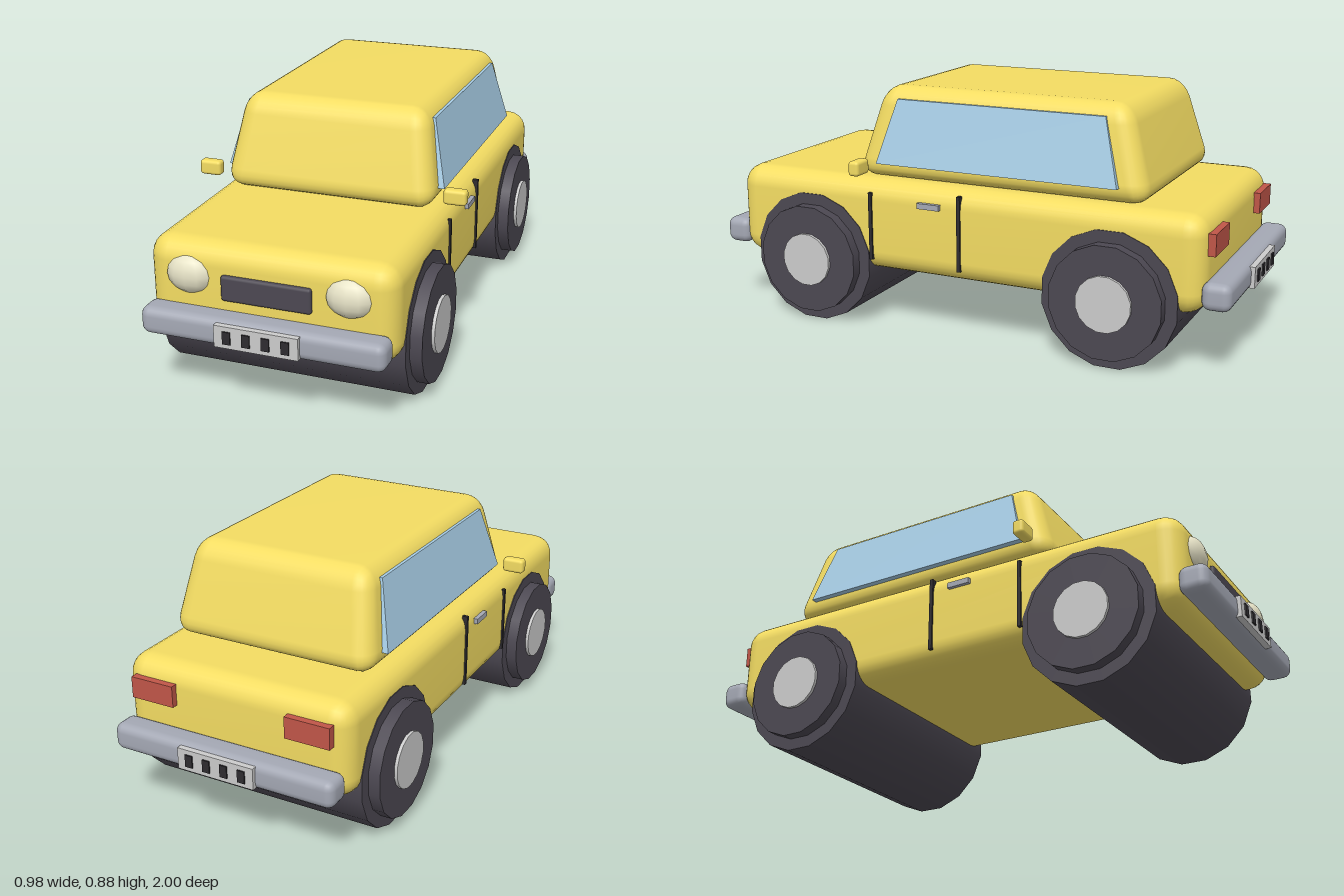
import * as THREE from 'three';
import { mergeVertices } from 'three/addons/utils/BufferGeometryUtils.js';
import { RoundedBoxGeometry } from 'three/addons/geometries/RoundedBoxGeometry.js';

const paint = (color) => new THREE.MeshStandardMaterial({ color });
const yellow = paint(0xf3dc62);
const chrome = paint(0xa4a8b4);
const rubber = paint(0x4c4852);
const dark = paint(0x2e2c30);
const glass = paint(0xa6cce4);
const cream = paint(0xe8e4c8);
const red = paint(0xc05648);
const white = paint(0xdcdcd8);
const hubGrey = paint(0xcccccc);

// Narrows a geometry towards its top; shift moves the top sideways
function taper(geometry, height, sx, sz, shift = 0) {
  const p = geometry.attributes.position;
  for (let i = 0; i < p.count; i++) {
    const t = p.getY(i) / height + 0.5;
    p.setX(i, p.getX(i) * (1 + (sx - 1) * t) + shift * t);
    p.setZ(i, p.getZ(i) * (1 + (sz - 1) * t));
  }
  return geometry;
}

// Rounded box with normals shared across its faces
function softBox(w, h, d, r, sx = 1, sz = 1) {
  const g = taper(new RoundedBoxGeometry(w, h, d, 3, r), h, sx, sz);
  g.deleteAttribute('normal');
  g.deleteAttribute('uv');
  const merged = mergeVertices(g, 1e-4);
  merged.computeVertexNormals();
  return merged;
}

export function createModel() {
  const car = new THREE.Group();
  car.name = 'car';

  const add = (name, geometry, material, x, y, z) => {
    const mesh = new THREE.Mesh(geometry, material);
    mesh.name = name;
    mesh.position.set(x, y, z);
    car.add(mesh);
    return mesh;
  };
  const box = (name, material, w, h, d, x, y, z) =>
    add(name, new THREE.BoxGeometry(w, h, d), material, x, y, z);

  // Body shell and tapered cabin
  add('body', softBox(0.85, 0.338, 1.8, 0.075), yellow, 0, 0.382, 0.004);
  add('cabin', softBox(0.778, 0.327, 1.115, 0.068, 0.853, 0.828), yellow, 0, 0.714, -0.136);

  // Wheels: a full-width roller, with a stepped sidewall and hub at each end
  const roller = (name, material, radius, length, x, z, sides = 16) => {
    const g = new THREE.CylinderGeometry(radius, radius, length, sides, 1, false, Math.PI / sides);
    add(name, g.rotateZ(Math.PI / 2), material, x, 0.2375, z);
  };
  for (const z of [0.578, -0.577]) {
    roller('wheelRoller', rubber, 0.242, 0.856, 0, z);
    for (const side of [1, -1]) {
      roller('sidewall', rubber, 0.2, 0.06, side * 0.439, z);
      roller('hub', hubGrey, 0.098, 0.04, side * 0.46, z);
    }
  }

  // Bumpers and number plates with four plain dark blocks
  for (const end of [1, -1]) {
    const name = end > 0 ? 'front' : 'rear';
    add(name + 'Bumper', softBox(0.83, 0.095, 0.1, 0.03), chrome, 0, 0.289, end * 0.932);
    box(name + 'Plate', white, 0.285, 0.075, 0.022, -0.002 * end, 0.288, end * 0.984);
    for (let i = 0; i < 4; i++) {
      box(name + 'PlateBlock', dark, 0.027, 0.043, 0.02, end * (-0.1 + i * 0.066), 0.288, end * 0.99);
    }
  }

  // Grille
  add('grille', new RoundedBoxGeometry(0.307, 0.087, 0.03, 2, 0.01), rubber, -0.001, 0.414, 0.903);

  for (const side of [1, -1]) {
    // Lamps
    const lamp = new THREE.SphereGeometry(1, 12, 8).scale(0.083, 0.068, 0.05);
    add('headlight', lamp, cream, side * 0.272, 0.438, 0.884);
    box('tailLight', red, 0.162, 0.075, 0.03, side * 0.292, 0.453, -0.903);

    // Side window: a slanted slab leaning with the cabin
    const pane = taper(new THREE.BoxGeometry(0.03, 0.228, 0.906), 0.228, 0.7, 0.862, side * -0.05);
    pane.computeVertexNormals();
    add('sideWindow', pane, glass, side * 0.385, 0.721, -0.135);

    // Mirror, door seams and handle
    add('mirror', softBox(0.08, 0.053, 0.042, 0.012), yellow, side * 0.451, 0.601, 0.358);
    box('doorSeam', dark, 0.02, 0.247, 0.013, side * 0.421, 0.382, 0.329);
    box('doorSeam', dark, 0.02, 0.27, 0.013, side * 0.421, 0.393, -0.024);
    box('doorHandle', chrome, 0.025, 0.02, 0.086, side * 0.426, 0.481, 0.091);
  }

  return car;
}
